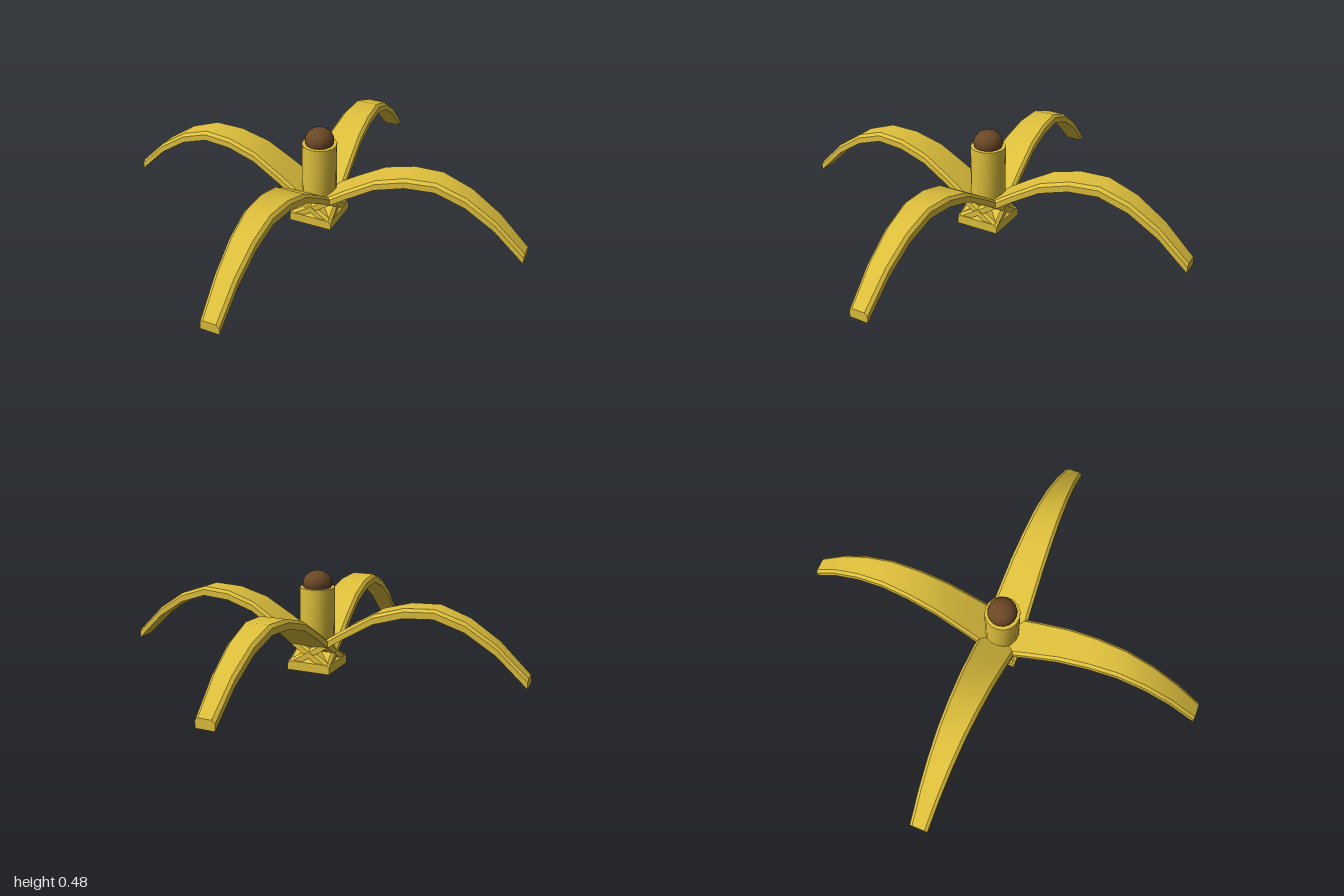
import * as THREE from 'three';
import { toCreasedNormals } from 'three/addons/utils/BufferGeometryUtils.js';

// Top heights of an arched strip, evenly spaced from its root to its tip
const HEIGHTS = [0.045, 0.132, 0.225, 0.31, 0.352, 0.36, 0.312, 0.22, 0.085];
const U0 = -0.11, U1 = 1.03, THICK = 0.045, BEVEL = 0.014;

// Tapered strip along +x, with bevelled upper edges
function stripGeometry() {
  const pos = [], index = [], n = 6, last = HEIGHTS.length - 1;
  HEIGHTS.forEach((y, i) => {
    const t = i / last, x = THREE.MathUtils.lerp(U0, U1, t);
    const w = THREE.MathUtils.lerp(0.11, 0.045, t);
    const section = [[-w, -THICK], [-w, -BEVEL], [-w + BEVEL, 0], [w - BEVEL, 0], [w, -BEVEL], [w, -THICK]];
    for (const [z, dy] of section) pos.push(x, y + dy, z);
  });
  for (let i = 0; i < last; i++) {
    for (let j = 0; j < n; j++) {
      const a = i * n + j, b = i * n + (j + 1) % n, c = b + n, d = a + n;
      index.push(a, b, c, a, c, d);
    }
  }
  // End caps
  for (let j = 1; j < n - 1; j++) {
    index.push(0, j + 1, j);
    index.push(last * n, last * n + j, last * n + j + 1);
  }
  const g = new THREE.BufferGeometry();
  g.setAttribute('position', new THREE.Float32BufferAttribute(pos, 3));
  g.setIndex(index);
  return toCreasedNormals(g, 0.55);
}

export function createModel() {
  const yellow = new THREE.MeshStandardMaterial({ color: 0xdfc03c });
  yellow.name = 'peelYellow';
  const brown = new THREE.MeshStandardMaterial({ color: 0x6b4826 });
  brown.name = 'tipBrown';

  const model = new THREE.Group();
  model.name = 'bananaPeel';
  const add = (name, geometry, material) => {
    const mesh = new THREE.Mesh(geometry, material);
    mesh.name = name;
    model.add(mesh);
    return mesh;
  };

  // Four strips crossing each other at the root
  const strip = stripGeometry();
  for (let k = 0; k < 4; k++) {
    add('peelStrip' + (k + 1), strip, yellow).rotation.y = 0.305 + k * Math.PI / 2;
  }

  // Upright stem
  const stem = toCreasedNormals(new THREE.CylinderGeometry(0.085, 0.085, 0.3, 16), 0.6);
  add('stem', stem, yellow).position.y = 0.25;

  // Dark rounded tip
  const tip = add('stemTip', new THREE.SphereGeometry(0.071, 16, 12), brown);
  tip.scale.y = 0.85;
  tip.position.y = 0.42;

  return model;
}
